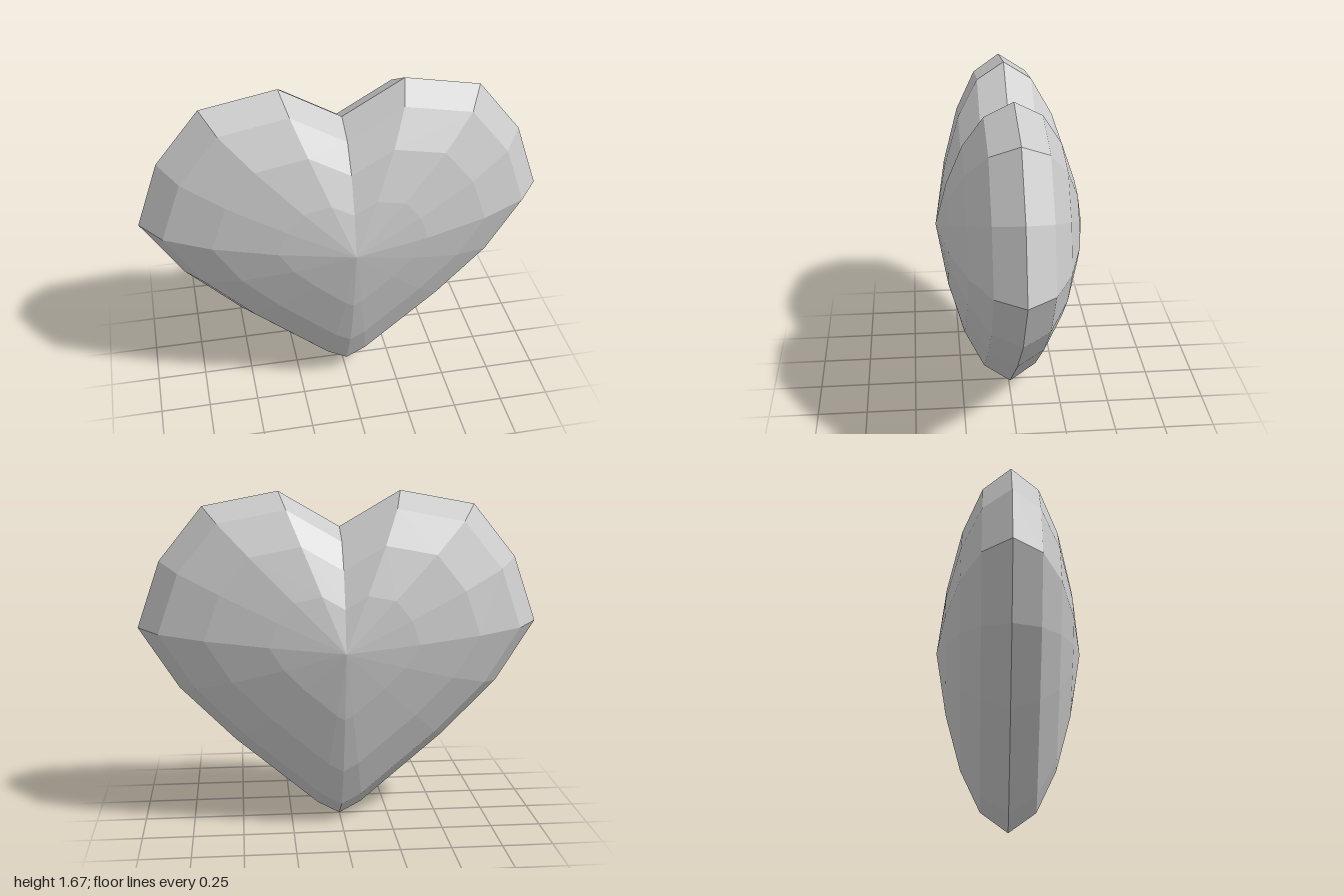
import * as THREE from 'three';

// Right half of the heart outline, from the top notch down to the point
const HALF = [
  [0, 1.5], [0.3, 1.675], [0.67, 1.605], [0.885, 1.34], [1, 1.01],
  [0.805, 0.7], [0.53, 0.42], [0.11, 0.06], [0, 0],
];
const CENTRE_Y = 0.94;
// Each ring is the outline scaled about the centre: [scale, depth]
const RINGS = [[1, 0], [0.893, 0.135], [0.67, 0.233], [0.362, 0.31], [0, 0.365]];

// Full outline, counter-clockwise seen from the front
function outline() {
  const left = HALF.slice(1).map(([x, y]) => [-x, y]);
  const right = HALF.slice(1, -1).reverse();
  return [HALF[0], ...left, ...right];
}

// One faceted half of the gem; side is +1 for the front, -1 for the back
function halfGeometry(side) {
  const points = outline();
  const positions = [];
  const vertex = ([x, y], [scale, depth]) =>
    [x * scale, CENTRE_Y + (y - CENTRE_Y) * scale, depth * side];
  const triangle = (a, b, c) =>
    positions.push(...a, ...(side > 0 ? b : c), ...(side > 0 ? c : b));

  for (let r = 0; r < RINGS.length - 1; r++) {
    points.forEach((p, i) => {
      const q = points[(i + 1) % points.length];
      const a = vertex(p, RINGS[r]);
      const b = vertex(q, RINGS[r]);
      const c = vertex(q, RINGS[r + 1]);
      const d = vertex(p, RINGS[r + 1]);
      triangle(a, b, c);
      // The innermost ring closes to a single tip
      if (RINGS[r + 1][0] > 0) triangle(a, c, d);
    });
  }

  const geometry = new THREE.BufferGeometry();
  geometry.setAttribute('position', new THREE.Float32BufferAttribute(positions, 3));
  geometry.computeVertexNormals();
  return geometry;
}

export function createModel() {
  const heart = new THREE.Group();
  heart.name = 'heart';
  const material = new THREE.MeshStandardMaterial({ color: 0xcccccc, flatShading: true });
  for (const [name, side] of [['heartFront', 1], ['heartBack', -1]]) {
    const mesh = new THREE.Mesh(halfGeometry(side), material);
    mesh.name = name;
    heart.add(mesh);
  }
  return heart;
}
